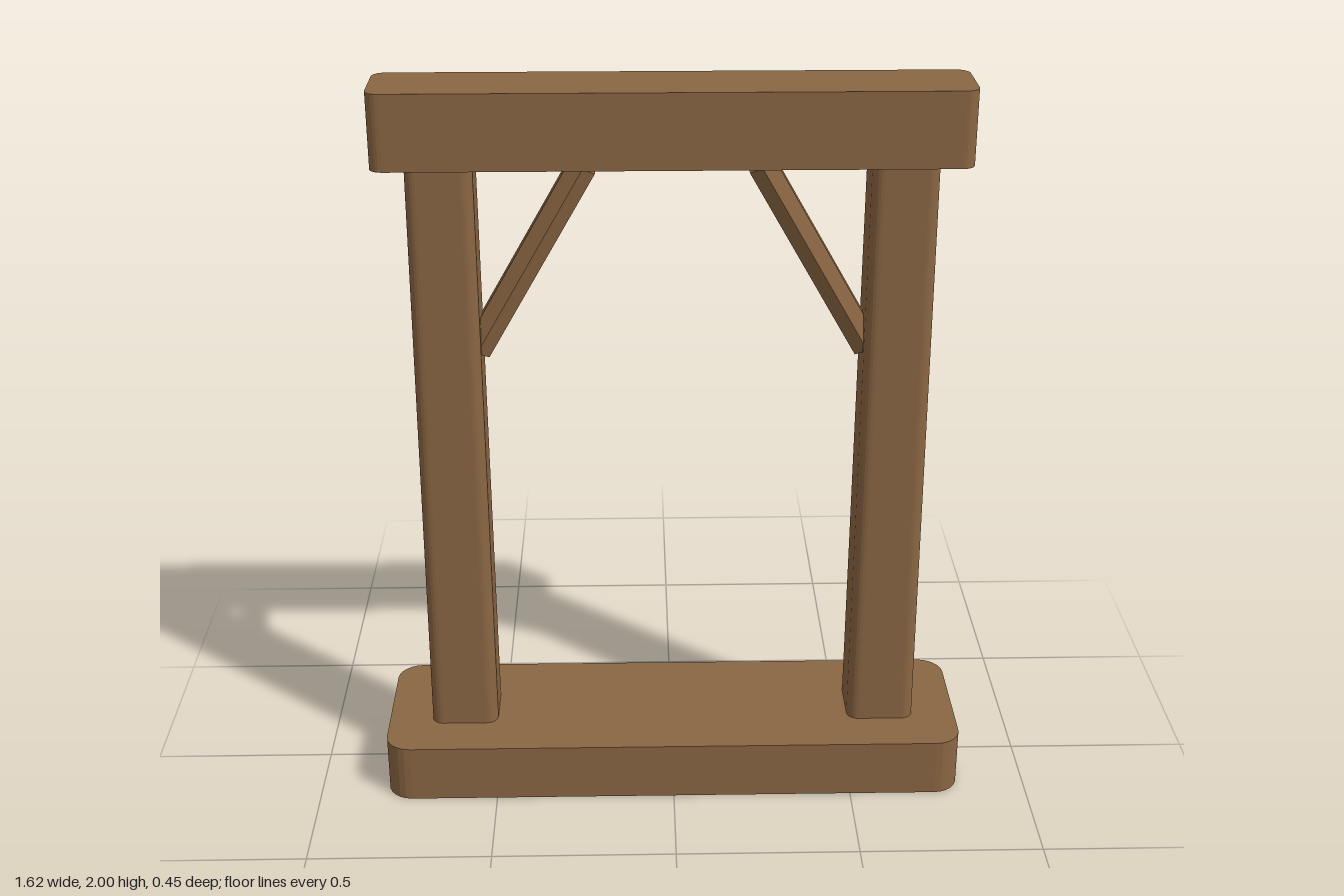
import * as THREE from 'three';

const wood = new THREE.MeshStandardMaterial({ color: 0x8a6643 });
wood.name = 'brown wood';

// Upright block with rounded vertical corners, standing on y = 0, narrowing to `taper` at its top
function roundedBlock(width, height, depth, radius, taper = 1) {
  const x = width / 2, z = depth / 2, r = radius;
  const shape = new THREE.Shape();
  shape.absarc(x - r, z - r, r, 0, Math.PI / 2);
  shape.absarc(r - x, z - r, r, Math.PI / 2, Math.PI);
  shape.absarc(r - x, r - z, r, Math.PI, Math.PI * 1.5);
  shape.absarc(x - r, r - z, r, Math.PI * 1.5, Math.PI * 2);
  const geometry = new THREE.ExtrudeGeometry(shape, { depth: height, bevelEnabled: false, curveSegments: 3 });
  geometry.rotateX(-Math.PI / 2);
  const p = geometry.attributes.position;
  for (let i = 0; i < p.count; i++) {
    const s = 1 + (taper - 1) * p.getY(i) / height;
    p.setX(i, p.getX(i) * s);
    p.setZ(i, p.getZ(i) * s);
  }
  geometry.computeVertexNormals();
  return geometry;
}

export function createModel() {
  const group = new THREE.Group();
  group.name = 'woodenGateFrame';

  function add(name, geometry, x, y) {
    const mesh = new THREE.Mesh(geometry, wood);
    mesh.name = name;
    mesh.position.set(x, y, 0);
    group.add(mesh);
    return mesh;
  }

  // Sill and lintel
  add('basePlinth', roundedBlock(1.62, 0.164, 0.453, 0.07), 0, 0);
  add('topBeam', roundedBlock(1.53, 0.2, 0.214, 0.035), 0, 1.8);

  // Tapered posts and six-sided diagonal braces, mirrored
  const postGeometry = roundedBlock(0.187, 1.64, 0.187, 0.032, 0.925);
  const braceGeometry = new THREE.CylinderGeometry(0.042, 0.042, 0.58, 6).toNonIndexed();
  braceGeometry.computeVertexNormals();
  for (const side of [1, -1]) {
    const label = side > 0 ? 'left' : 'right';
    add(label + 'Post', postGeometry, side * 0.594, 0.162);
    const brace = add(label + 'Brace', braceGeometry, side * 0.374, 1.533);
    brace.rotation.z = side * 0.52;
  }
  return group;
}
